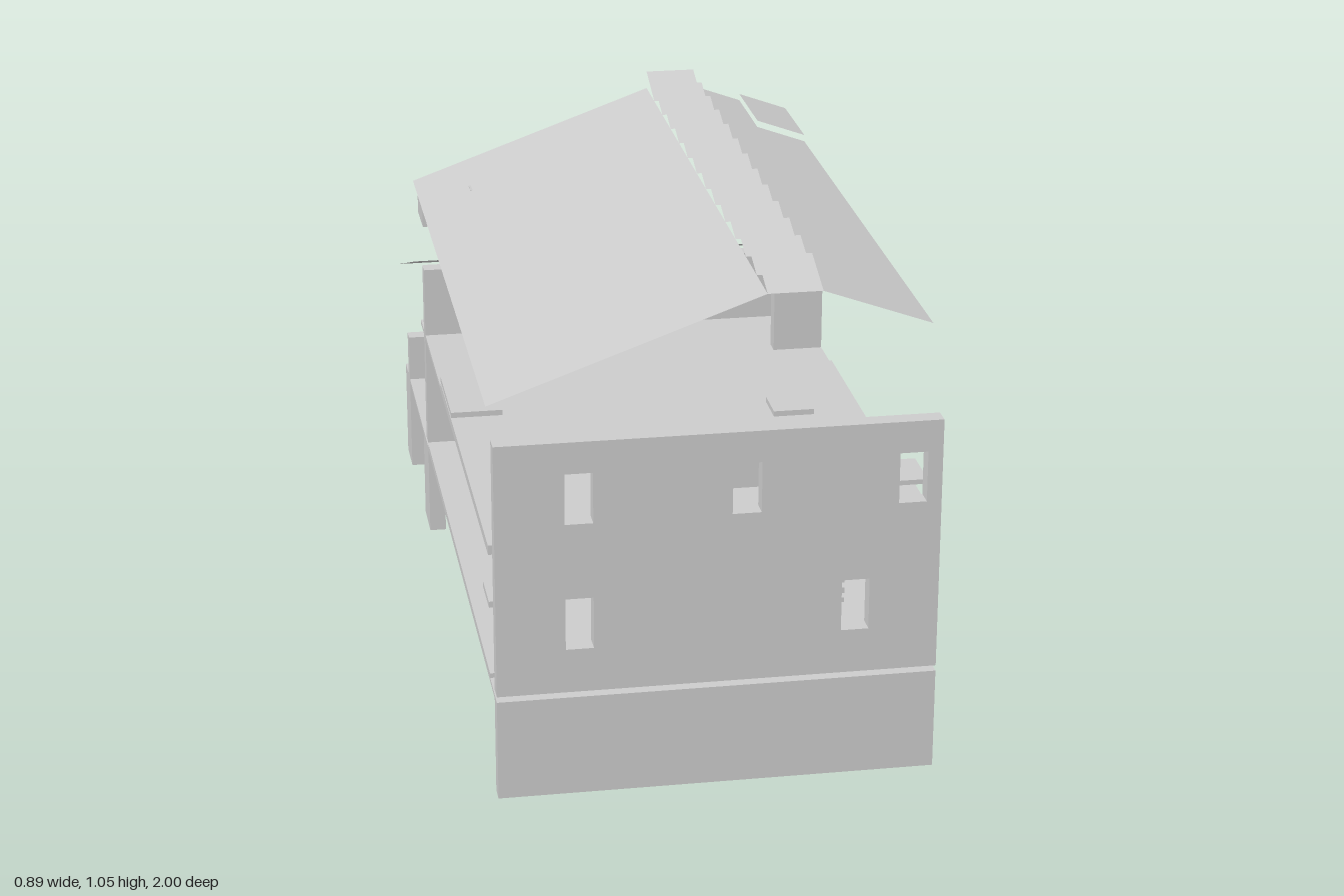
import * as THREE from 'three';

export function createModel() {
  const group = new THREE.Group();
  const grey = new THREE.MeshStandardMaterial({ color: 0xcccccc, flatShading: true });
  grey.name = 'plainGrey';
  const greySheet = grey;
  greySheet.side = THREE.DoubleSide;

  const add = (name, geometry) => {
    const mesh = new THREE.Mesh(geometry, grey);
    mesh.name = name;
    group.add(mesh);
    return mesh;
  };

  // Box from its limits on each axis
  const box = (name, x0, x1, y0, y1, z0, z1) =>
    add(name, new THREE.BoxGeometry(x1 - x0, y1 - y0, z1 - z0)
      .translate((x0 + x1) / 2, (y0 + y1) / 2, (z0 + z1) / 2));

  // Upright wall from an outline in x and y, with rectangular windows
  const wall = (name, outline, z0, z1, windows) => {
    const shape = new THREE.Shape(outline.map(([x, y]) => new THREE.Vector2(x, y)));
    for (const [x0, x1, y0, y1] of windows) {
      shape.holes.push(new THREE.Path([[x0, y0], [x0, y1], [x1, y1], [x1, y0]]
        .map(([x, y]) => new THREE.Vector2(x, y))));
    }
    add(name, new THREE.ExtrudeGeometry(shape, { depth: z1 - z0, bevelEnabled: false })
      .translate(0, 0, z0));
  };

  // Thin sheet from an outline in x and z, lifted by a height rule
  const sheet = (name, outline, height) => {
    const shape = new THREE.Shape(outline.map(([x, z]) => new THREE.Vector2(x, -z)));
    const geometry = new THREE.ShapeGeometry(shape).rotateX(-Math.PI / 2);
    const p = geometry.attributes.position;
    for (let i = 0; i < p.count; i++) p.setY(i, height(p.getX(i), p.getZ(i)));
    geometry.computeVertexNormals();
    add(name, geometry);
  };
  const rect = (x0, x1, z0, z1) => [[x0, z0], [x0, z1], [x1, z1], [x1, z0]];

  const W = 0.444, T = 0.037;

  // Front wall
  wall('frontWall', [[-W, 0.242], [W, 0.242], [W, 0.775], [-W, 0.775]], 0.963, 1, [
    [-0.306, -0.25, 0.603, 0.709], [0.025, 0.083, 0.603, 0.709], [0.358, 0.414, 0.603, 0.709],
    [-0.306, -0.25, 0.335, 0.444], [0.247, 0.303, 0.335, 0.444],
  ]);
  box('frontFoundation', -W, W, 0.017, 0.229, 0.963, 1);

  // Floors
  box('groundFloor', -W, W, 0.222, 0.23, -0.885, 1);
  box('groundFloorCovering', -W, 0, 0.23, 0.24, -0.333, 0.889);
  box('upperFloor', -W, W, 0.5, 0.51, -0.44, 0.889);
  box('upperFloorCovering', -W, W, 0.51, 0.52, 0, 0.889);

  // Foundation posts and walls
  for (let i = 0; i < 11; i++) {
    const z = 0.889 - i / 9;
    box('foundationPost', -0.111, 0, 0.017, 0.222, z - T, z);
  }
  box('rearFoundation', -0.333, 0.34, 0.017, 0.222, -0.37, -0.333);
  box('rearCornerPost', 0.333, 0.37, 0.017, 0.222, -0.444, -0.333);
  box('rearCornerPost', -W, -0.407, 0.017, 0.222, -0.444, -0.333);
  box('porchFoundation', -0.333, 0, 0, 0.222, -0.814, -0.777);
  box('porchCornerPost', -W, -0.407, 0, 0.222, -0.885, -0.777);

  // Back wall with its stepped gable
  wall('backWallLower', [[-W, 0.242], [W, 0.242], [W, 0.5], [-W, 0.5]], -0.37, -0.333,
    [[-0.306, -0.25, 0.35, 0.455]]);
  wall('backWallUpper', [[-W, 0.51], [W, 0.51], [W, 0.67], [-0.111, 0.67], [-0.111, 0.895],
    [-0.222, 0.895], [-0.222, 0.857], [-0.333, 0.857], [-0.333, 0.67], [-W, 0.67]], -0.37, -0.333,
    [[-0.306, -0.25, 0.63, 0.735]]);
  box('eavePost', -W, -0.407, 0.775, 0.815, -0.444, -0.333);

  // Inner walls
  box('innerWallLower', 0.185, 0.222, 0.242, 0.5, 0.111, 0.889);
  box('rearInnerWall', -T, 0, 0.242, 0.5, -0.333, -0.111);
  box('upperInnerWall', -T, 0, 0.51, 0.775, -0.333, -0.222);
  box('upperSideWall', 0.333, W, 0.51, 0.775, -0.148, -0.111);

  // Shelves and floor plates
  for (const y of [0.24, 0.263, 0.287, 0.31]) {
    box('shelf', 0.222, 0.333, y, y + 0.013, 0.455, 0.545);
    box('shelf', 0.222, 0.333, y - 0.012, y + 0.001, 0.567, 0.655);
  }
  box('upperShelf', 0.333, W, 0.592, 0.602, 0.78, 0.889);
  box('upperShelf', 0.333, W, 0.537, 0.548, 0.787, 0.889);
  box('cabinet', 0, 0.111, 0.603, 0.667, 0.79, 0.875);
  box('sideShelf', -W, -0.333, 0.385, 0.398, 0.787, 0.889);
  box('floorPlate', 0.245, 0.333, 0.525, 0.537, 0.236, 0.325);
  box('longFloorPlate', -W, -0.333, 0.525, 0.537, 0, 0.222);
  box('frontPad', 0.111, W, 0.005, 0.015, 0.667, 0.889);
  box('frontHatch', 0.111, 0.333, 0.2, 0.21, 0.787, 0.889);

  // Porch
  box('porchWall', -W, 0, 0.23, 0.34, -0.814, -0.777);
  box('porchPost', 0.333, 0.37, 0.23, 0.43, -0.885, -0.777);
  box('porchSeat', 0.333, W, 0.321, 0.333, -0.65, -0.567);
  box('porchMat', 0.222, 0.333, 0.23, 0.242, -0.666, -0.555);
  box('porchStep', -0.111, 0, 0.154, 0.165, -0.925, -0.885);
  box('porchLanding', 0, W, 0.03, 0.04, -1, -0.885);

  // Main roof
  const slope = 0.36;
  sheet('roofLeft', rect(-W, 0.111, -0.555, 0.889), (x) => 1.015 + (x - 0.111) * slope);
  const right = (x) => 1.015 - (x - 0.222) * slope;
  sheet('roofRight', [[0.222, -0.555], [0.222, 0.889], [W, 0.889], [W, -0.335],
    [0.333, -0.335], [0.333, -0.555]], right);
  sheet('raisedRoofPanel', rect(0.333, W, -0.555, -0.335), (x) => right(x) + 0.015);

  // Ridge louvres
  for (let i = 0; i < 13; i++) {
    const z1 = 0.889 - i / 9;
    sheet('ridgeLouvre', rect(0.111, 0.222, z1 - 1 / 9, z1), (x, z) => 1.015 + (z1 - z) * 0.36);
  }

  // Porch roof
  const porch = (x, z) => 0.615 + (z + 0.555) * slope;
  sheet('porchRoof', [[-W, -0.555], [W, -0.555], [W, -0.889], [0.111, -0.889],
    [0.111, -1], [-W, -1]], porch);
  sheet('loweredPorchPanel', rect(0.111, W, -1, -0.889), (x, z) => porch(x, z) - 0.015);

  return group;
}
